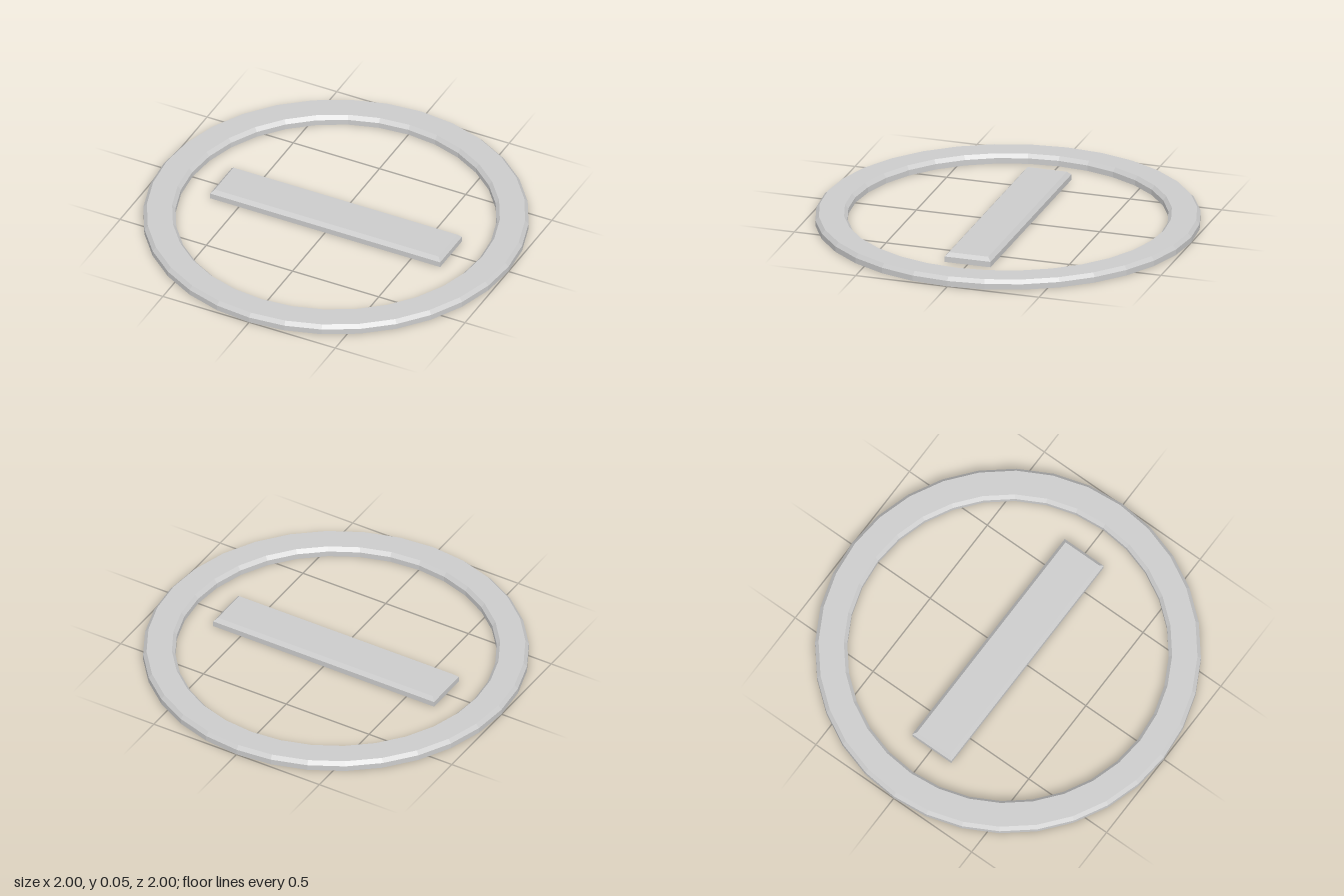
import * as THREE from 'three';

const HEIGHT = 0.05, WALL = 0.03, BEVEL = 0.018;

// Hollow bar, open underneath: rectangular sections from the foot up, then a lid.
function bevelledBar(halfX, halfZ) {
  const loops = [[0, 0], [0, WALL], [BEVEL, HEIGHT]].map(([inset, y]) => {
    const x = halfX - inset, z = halfZ - inset;
    return [[-x, y, z], [x, y, z], [x, y, -z], [-x, y, -z]];
  });
  const positions = [];
  const quad = (a, b, c, d) => positions.push(...a, ...b, ...c, ...a, ...c, ...d);
  for (let i = 0; i < 2; i++) {
    for (let j = 0; j < 4; j++) {
      const k = (j + 1) % 4;
      quad(loops[i][j], loops[i][k], loops[i + 1][k], loops[i + 1][j]);
    }
  }
  quad(...loops[2]);
  const geometry = new THREE.BufferGeometry();
  geometry.setAttribute('position', new THREE.Float32BufferAttribute(positions, 3));
  geometry.computeVertexNormals();
  return geometry;
}

// Hollow ring, open underneath, with bevelled outer and inner rims.
function bevelledRing(outer, inner, sides) {
  const profile = [
    [outer, 0], [outer, WALL], [outer - BEVEL, HEIGHT],
    [inner + BEVEL, HEIGHT], [inner, WALL], [inner, 0],
  ].map(([r, y]) => new THREE.Vector2(r, y));
  const geometry = new THREE.LatheGeometry(profile, sides).toNonIndexed();
  geometry.computeVertexNormals();
  return geometry;
}

export function createModel() {
  const model = new THREE.Group();
  model.name = 'ringAndBar';
  const material = new THREE.MeshStandardMaterial({
    color: 0xcccccc, flatShading: true, side: THREE.DoubleSide,
  });
  const add = (name, geometry) => {
    const mesh = new THREE.Mesh(geometry, material);
    mesh.name = name;
    model.add(mesh);
  };

  add('outerRing', bevelledRing(1, 0.833, 32));
  add('centreBar', bevelledBar(0.667, 0.125));
  return model;
}
